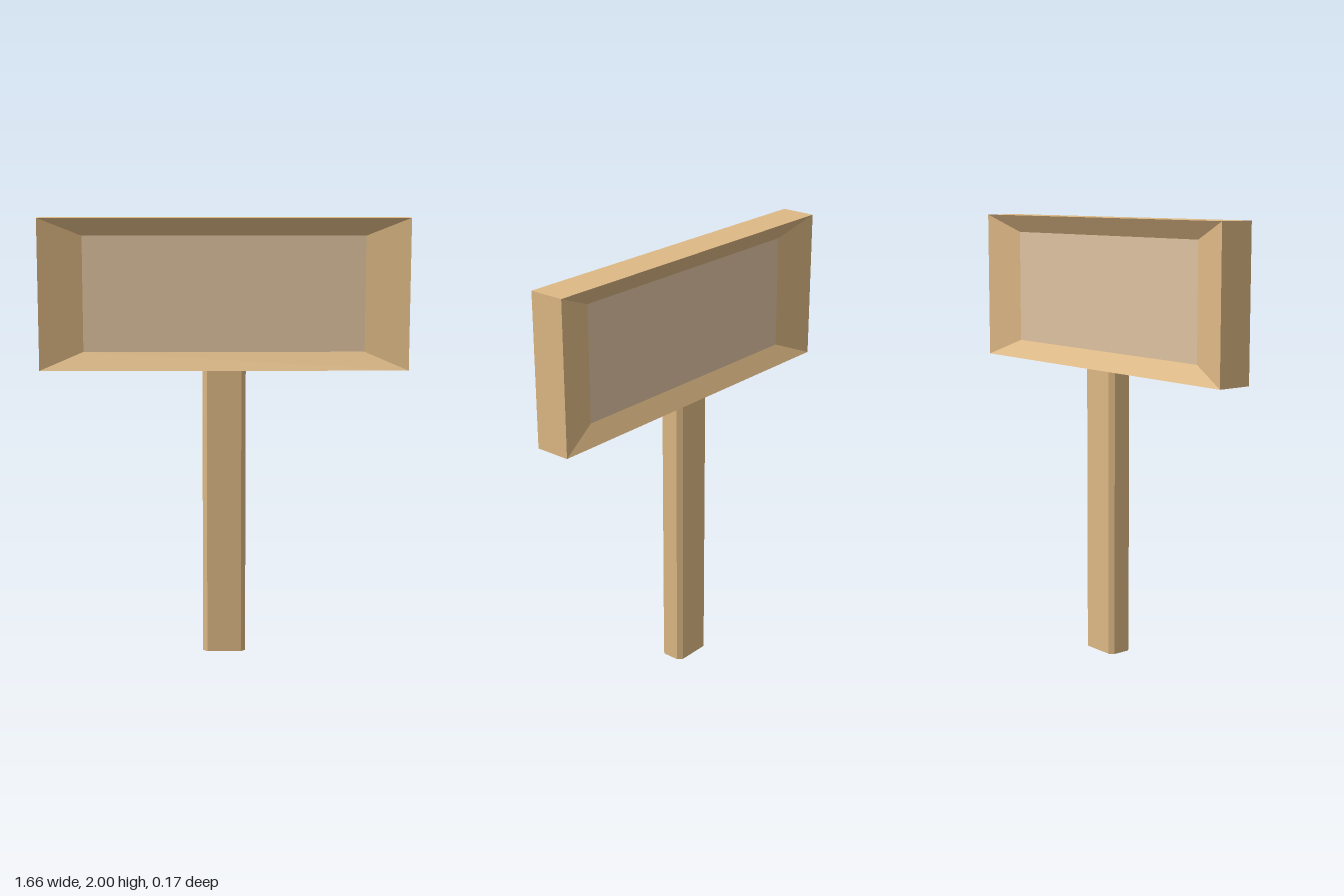
import * as THREE from 'three';

const HALF_W = 0.83, HALF_H = 0.34, HALF_D = 0.0825; // board outer half sizes
const IN_W = 0.635, IN_H = 0.26, IN_D = 0.0325;      // recessed panel half sizes
const BOTTOM = 1.32;

const rect = (w, h, z) => [[-w, -h, z], [w, -h, z], [w, h, z], [-w, h, z]];

// Flat-sided skin joining successive four-cornered loops
function loft(loops) {
  const pos = [];
  for (let k = 0; k < loops.length - 1; k++) {
    const a = loops[k], b = loops[k + 1];
    for (let i = 0; i < 4; i++) {
      const j = (i + 1) % 4;
      pos.push(...a[i], ...b[i], ...b[j], ...a[i], ...b[j], ...a[j]);
    }
  }
  const geo = new THREE.BufferGeometry();
  geo.setAttribute('position', new THREE.Float32BufferAttribute(pos, 3));
  geo.computeVertexNormals();
  return geo;
}

export function createModel() {
  const wood = new THREE.MeshStandardMaterial({ name: 'wood', color: 0xdeb985 });
  const paleWood = new THREE.MeshStandardMaterial({ name: 'pale wood', color: 0xdec3a1 });
  const model = new THREE.Group();
  model.name = 'signpost';

  // Post: rectangular bar with chamfered corners
  const w = 0.098, d = 0.06, c = 0.02;
  const section = new THREE.Shape([
    [-w + c, -d], [w - c, -d], [w, -d + c], [w, d - c],
    [w - c, d], [-w + c, d], [-w, d - c], [-w, -d + c],
  ].map(([x, y]) => new THREE.Vector2(x, y)));
  const postGeo = new THREE.ExtrudeGeometry(section, { depth: BOTTOM, bevelEnabled: false });
  postGeo.rotateX(-Math.PI / 2);
  const post = new THREE.Mesh(postGeo, wood);
  post.name = 'post';
  model.add(post);

  // Board: frame with sloping inner edges on both faces
  const board = new THREE.Group();
  board.name = 'board';
  board.position.y = BOTTOM + HALF_H;
  const frame = new THREE.Mesh(loft([
    rect(IN_W, IN_H, IN_D), rect(HALF_W, HALF_H, HALF_D),
    rect(HALF_W, HALF_H, -HALF_D), rect(IN_W, IN_H, -IN_D),
  ]), wood);
  frame.name = 'frame';
  board.add(frame);

  // Recessed panels, front and back
  for (const side of [1, -1]) {
    const panel = new THREE.Mesh(new THREE.PlaneGeometry(IN_W * 2, IN_H * 2), paleWood);
    panel.name = side > 0 ? 'frontPanel' : 'backPanel';
    panel.position.z = side * IN_D;
    if (side < 0) panel.rotation.y = Math.PI;
    board.add(panel);
  }
  model.add(board);
  return model;
}
